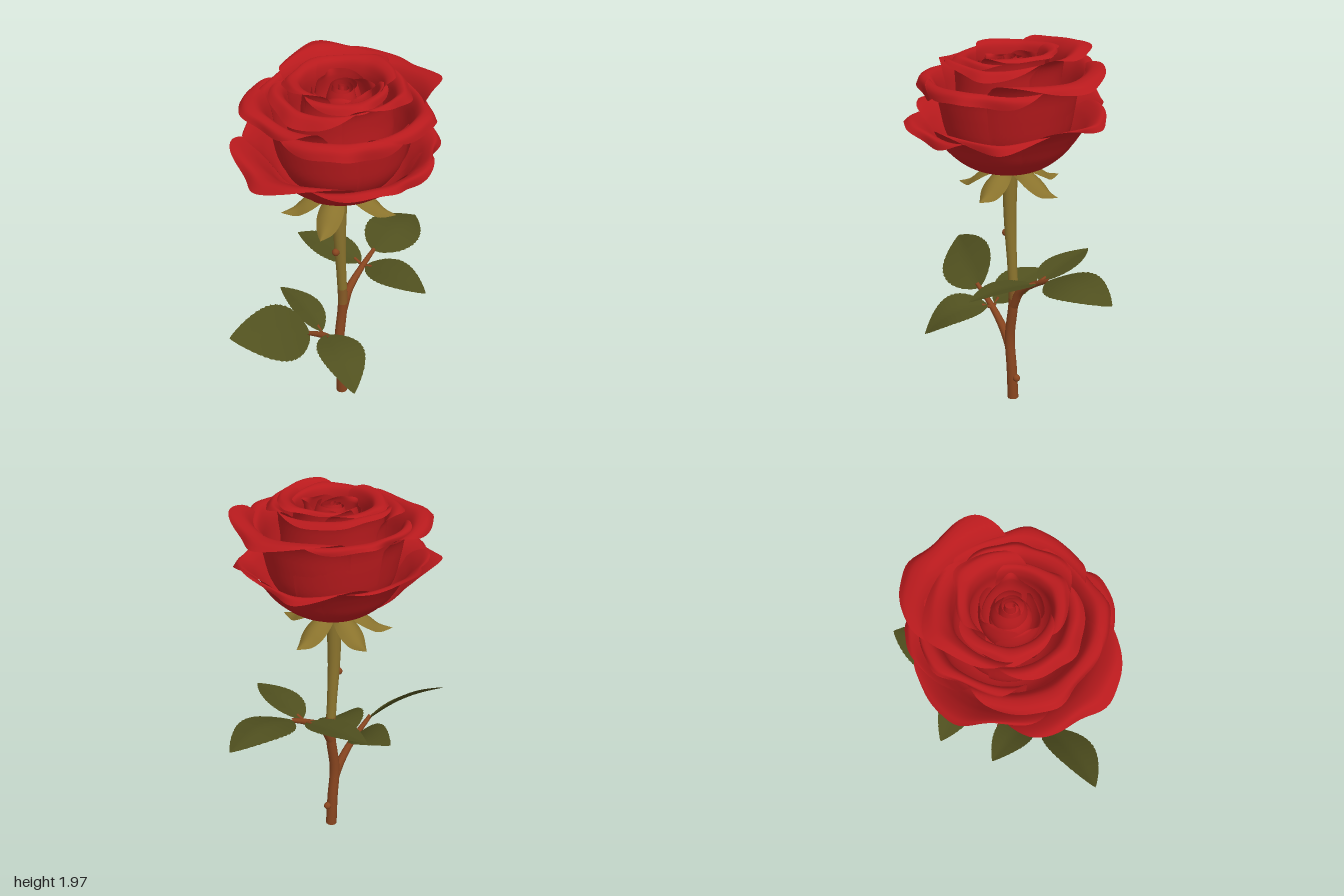
import * as THREE from 'three';
import { ParametricGeometry } from 'three/addons/geometries/ParametricGeometry.js';

const V = (x, y, z) => new THREE.Vector3(x, y, z);
const mat = (name, color, side = THREE.FrontSide) => {
  const m = new THREE.MeshStandardMaterial({ color, side });
  m.name = name;
  return m;
};

export function createModel() {
  const red = mat('petal red', 0xb81a1d, THREE.DoubleSide);
  const green = mat('leaf green', 0x50501f, THREE.DoubleSide);
  const olive = mat('sepal olive', 0x8a732d, THREE.DoubleSide);
  const brown = mat('stem brown', 0x88451f);
  const blend = mat('stem tan', 0x885b26);

  const rose = new THREE.Group();
  rose.name = 'rose';

  const add = (name, geometry, material, parent = rose) => {
    const m = new THREE.Mesh(geometry, material);
    m.name = name;
    parent.add(m);
    return m;
  };
  const group = (name) => {
    const g = new THREE.Group();
    g.name = name;
    rose.add(g);
    return g;
  };
  const surface = (fn, nu, nv) => {
    const g = new ParametricGeometry(fn, nu, nv);
    g.computeVertexNormals();
    return g;
  };

  // Tube whose radius changes along its path
  const taper = (points, radius, n = 24, sides = 12) => {
    const curve = new THREE.CatmullRomCurve3(points);
    const g = new THREE.TubeGeometry(curve, n, 1, sides, false);
    const pos = g.attributes.position, p = V(0, 0, 0), q = V(0, 0, 0);
    for (let i = 0; i < pos.count; i++) {
      const t = Math.floor(i / (sides + 1)) / n;
      curve.getPointAt(t, p);
      q.fromBufferAttribute(pos, i).sub(p).multiplyScalar(radius(t)).add(p);
      pos.setXYZ(i, q.x, q.y, q.z);
    }
    return g;
  };

  // Stem: brown below, olive above
  const N = 40, S = 14;
  const stem = taper([V(0, 0, 0.01), V(0, 0.18, 0.02), V(0, 0.36, 0.035), V(0, 0.6, 0.005),
    V(0, 0.8, 0.015), V(0, 1.05, 0.03), V(0, 1.36, 0.03)],
  (t) => 0.03 - 0.004 * Math.sin(Math.PI * t) + 0.012 * Math.max(0, t - 0.6) / 0.4, N, S);
  [[0, 18], [18, 21], [21, N]].forEach(([a, b], i) => stem.addGroup(a * S * 6, (b - a) * S * 6, i));
  add('stem', stem, [brown, blend, olive]);
  const foot = add('stemEnd', new THREE.CircleGeometry(0.03, S), brown);
  foot.rotation.x = Math.PI / 2;
  foot.position.set(0, 0.001, 0.01);

  // Thorn stubs
  [[0.97, 0.063], [0.13, -0.018]].forEach(([y, z]) => {
    const thorn = add('thorn', new THREE.SphereGeometry(0.02, 12, 8), brown);
    thorn.position.set(0, y, z);
  });

  // Branches
  const branch = (name, pts) => add(name, taper(pts, (t) => 0.027 - 0.016 * t, 16, 10), brown);
  branch('frontBranch', [V(0, 0.3, 0.03), V(0, 0.38, 0.075), V(0, 0.48, 0.16), V(0, 0.59, 0.3)]);
  branch('backBranch', [V(0, 0.57, 0.005), V(0, 0.67, -0.05), V(0, 0.75, -0.16), V(0, 0.81, -0.27)]);

  // Serrated leaf from base to tip, arched along its length and folded at the rib
  const leaf = (name, base, tip, sideHint, width, arch, fold = 0.12) => {
    const dir = tip.clone().sub(base).normalize();
    const side = sideHint.clone().addScaledVector(dir, -sideHint.dot(dir)).normalize();
    const up = side.clone().cross(dir);
    if (up.y < 0) up.negate();
    add(name, surface((s, t, out) => {
      const k = 2 * t - 1;
      const edge = Math.abs(k) > 0.9 ? 1 + 0.05 * ((s * 16) % 1) : 1;
      const w = width * Math.pow(Math.max(0, Math.sin(Math.PI * Math.pow(s, 0.78))), 0.85) * edge * k;
      out.copy(base).lerp(tip, s).addScaledVector(side, w)
        .addScaledVector(up, arch * Math.sin(Math.PI * s) + fold * Math.abs(w));
    }, 64, 8), green);
  };
  const stalk = (a, b) => add('leafStalk', taper([a, a.clone().lerp(b, 0.5), b], () => 0.008, 4, 8), brown);

  leaf('frontEndLeaf', V(0, 0.57, 0.28), V(-0.19, 0.7, 0.68), V(0.62, -0.52, 0.1), 0.15, 0.03);
  leaf('frontRightLeaf', V(-0.01, 0.515, 0.17), V(-0.33, 0.635, 0.13), V(0, 0.22, 1), 0.1, 0.03);
  leaf('frontLeftLeaf', V(0.03, 0.515, 0.18), V(0.34, 0.385, 0.34), V(-0.3, 0.08, 1), 0.125, 0.055);
  stalk(V(0, 0.49, 0.17), V(-0.04, 0.54, 0.17));
  stalk(V(0, 0.49, 0.17), V(0.06, 0.52, 0.195));

  leaf('backEndLeaf', V(0.01, 0.805, -0.26), V(-0.02, 0.81, -0.68), V(1, -0.12, 0), 0.147, 0.05, -0.1);
  leaf('backRightLeaf', V(-0.02, 0.765, -0.18), V(-0.42, 0.815, -0.13), V(0, -0.12, 1), 0.1, 0.01);
  leaf('backLeftLeaf', V(0.02, 0.765, -0.18), V(0.43, 0.785, -0.14), V(0, -0.15, 1), 0.1, 0.02);
  stalk(V(0, 0.755, -0.17), V(-0.06, 0.775, -0.175));
  stalk(V(0, 0.755, -0.17), V(0.06, 0.773, -0.175));

  // Sepals: cupped pointed strips drooping under the flower
  const sepals = group('sepals');
  const droop = new THREE.CatmullRomCurve3([V(0.03, 1.345, 0), V(0.1, 1.345, 0), V(0.17, 1.31, 0),
    V(0.23, 1.265, 0), V(0.3, 1.245, 0)]);
  [[70, -0.03], [-18, 0.005], [-100, 0], [-170, 0], [130, -0.01]].forEach(([deg, lift]) => {
    const sepal = add('sepal', surface((s, t, out) => {
      const k = 2 * t - 1;
      const w = 0.065 * Math.sin(Math.PI * (0.15 + 0.85 * s)) * k;
      droop.getPoint(s, out);
      out.y += lift * s - 0.65 * Math.abs(w * k);
      out.z = w;
    }, 16, 8), olive, sepals);
    sepal.rotation.y = -THREE.MathUtils.degToRad(deg);
    sepal.position.z = 0.03;
  });
  const hip = add('flowerBase', new THREE.SphereGeometry(0.075, 16, 10), olive, sepals);
  hip.scale.y = 0.45;
  hip.position.set(0, 1.345, 0.03);

  // Petal: a sector of a turned profile with rounded, wavy rim rolled outward
  const flower = group('flower');
  const petal = (name, profile, deg, half, reach, rimY, wave) => {
    const curve = new THREE.CatmullRomCurve3(profile.map(([r, y]) => V(r, y, 0)));
    const [endR, endY] = profile[profile.length - 1];
    const phase = deg * 1.7;
    add(name, surface((s, t, out) => {
      const k = 2 * s - 1;
      const v = t * (1 - 0.42 * Math.pow(Math.abs(k), 3));
      curve.getPoint(v, out);
      const rim = Math.pow(v, 4);
      const r = out.x * (1 + (reach / endR - 1) * v * v) + 0.022 * k * v
        + rim * (wave * 0.7 * Math.sin(6 * k + phase) + 0.03 * Math.exp(-k * k * 40));
      const y = out.y + (rimY - endY) * v * v + rim * wave * Math.sin(5 * k + phase + 1);
      const a = THREE.MathUtils.degToRad(deg + half * k);
      out.set(0.01 + r * Math.cos(a), y, 0.03 + r * Math.sin(a));
    }, 40, 28), red, flower);
  };
  const layers = [
    ['outerPetal', 56, 0.032,
      [[0.02, 1.345], [0.18, 1.365], [0.3, 1.45], [0.37, 1.54], [0.43, 1.605], [0.49, 1.635], [0.52, 1.615]],
      [[98, 0.54, 1.595], [174, 0.5, 1.68], [246, 0.47, 1.63], [316, 0.46, 1.6], [22, 0.49, 1.57]]],
    ['middlePetal', 60, 0.024,
      [[0.03, 1.36], [0.2, 1.41], [0.3, 1.53], [0.335, 1.67], [0.36, 1.79], [0.4, 1.845], [0.45, 1.84], [0.47, 1.8]],
      [[122, 0.46, 1.81], [48, 0.43, 1.74], [-22, 0.43, 1.77], [268, 0.5, 1.86], [196, 0.41, 1.83]]],
    ['innerPetal', 76, 0.018,
      [[0.03, 1.4], [0.18, 1.5], [0.25, 1.65], [0.255, 1.81], [0.27, 1.91], [0.31, 1.945], [0.35, 1.92]],
      [[215, 0.37, 1.945], [95, 0.34, 1.85], [335, 0.32, 1.89]]],
    ['cupPetal', 82, 0.012,
      [[0.03, 1.5], [0.15, 1.6], [0.195, 1.75], [0.185, 1.88], [0.2, 1.935], [0.235, 1.945], [0.255, 1.92]],
      [[150, 0.26, 1.92], [30, 0.25, 1.89], [270, 0.26, 1.95]]],
    ['budPetal', 85, 0.008,
      [[0.03, 1.6], [0.11, 1.68], [0.14, 1.8], [0.13, 1.89], [0.12, 1.92]],
      [[90, 0.125, 1.9], [210, 0.125, 1.93], [330, 0.125, 1.92]]],
  ];
  layers.forEach(([name, half, wave, profile, petals]) =>
    petals.forEach(([deg, reach, rimY]) => petal(name, profile, deg, half, reach, rimY, wave)));

  // Rolled heart of the bud around a closed core
  add('budHeart', surface((s, t, out) => {
    const a = s * Math.PI * 6;
    const r = (0.015 + 0.085 * s) * (0.75 + 0.25 * Math.sin(Math.PI * t)) + 0.004 * Math.sin(a * 1.6);
    const y = 1.72 + t * (0.19 + 0.012 * Math.sin(a * 0.8));
    out.set(0.015 + r * Math.cos(a), y, 0.03 + r * Math.sin(a));
  }, 110, 8), red, flower);
  const core = add('budCore', new THREE.SphereGeometry(0.1, 20, 12), red, flower);
  core.position.set(0.015, 1.77, 0.03);

  return rose;
}
